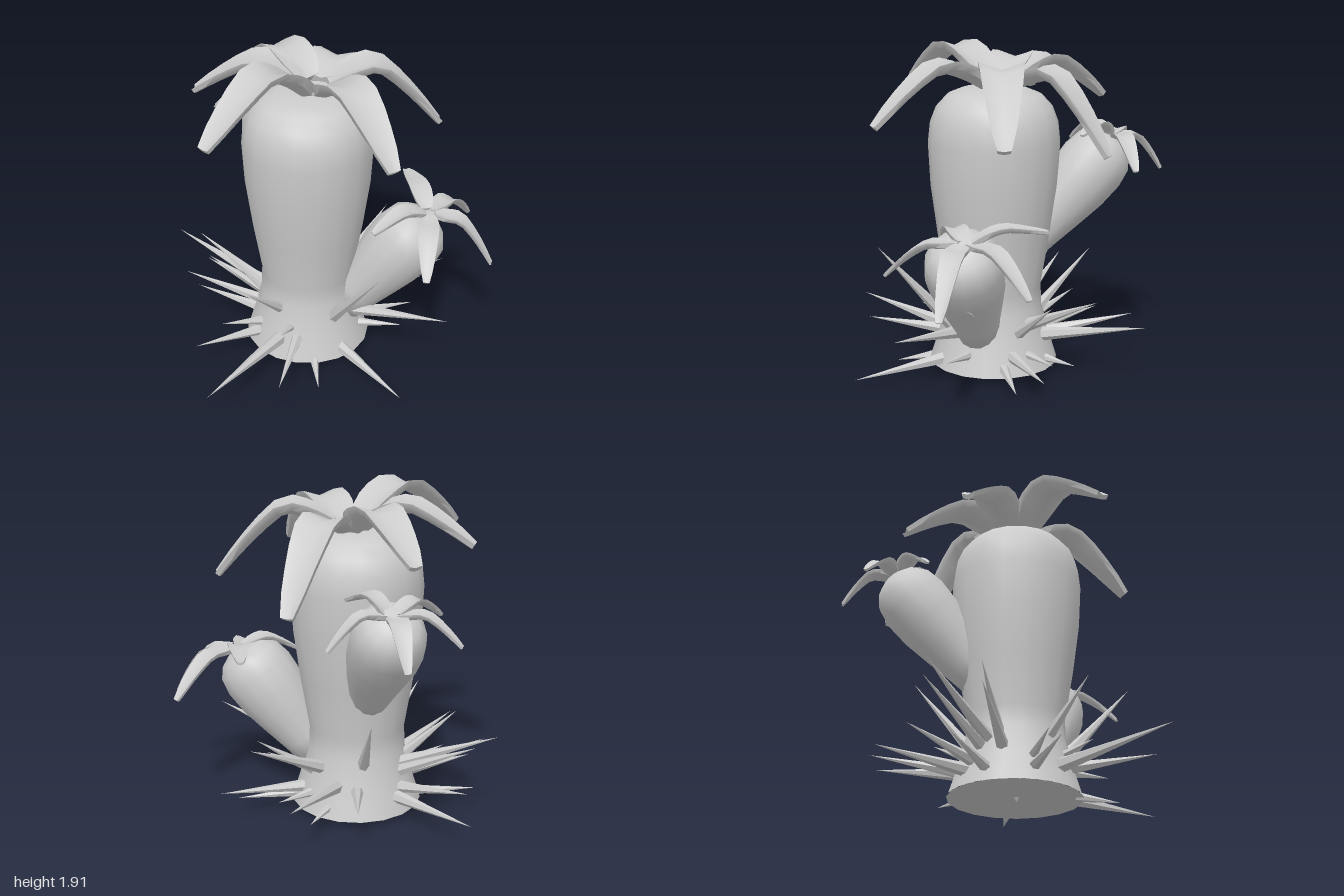
import * as THREE from 'three';
import { toCreasedNormals } from 'three/addons/utils/BufferGeometryUtils.js';

const V = (x, y, z) => new THREE.Vector3(x, y, z);
const AXIS = V(-0.06, 0, -0.08);

// Main trunk outline, [radius, height]
const TRUNK = [[0.38, 0.04], [0.355, 0.12], [0.325, 0.22], [0.285, 0.38], [0.28, 0.5], [0.33, 0.8],
  [0.37, 1.1], [0.383, 1.35], [0.37, 1.47], [0.335, 1.56], [0.27, 1.63], [0.18, 1.665], [0, 1.67]];

// Side arm outline, [radius, fraction of length]
const ARM = [[0, 0], [0.12, 0.02], [0.145, 0.2], [0.18, 0.4], [0.212, 0.6], [0.22, 0.77],
  [0.2, 0.89], [0.15, 0.96], [0.08, 1], [0, 1]];

// Petal half-width along its length
const WIDTHS = [0.55, 0.76, 0.92, 1, 1, 0.94, 0.84, 0.7, 0.54, 0.3];

export function createModel() {
  const model = new THREE.Group();
  const mat = new THREE.MeshStandardMaterial({ color: 0xcccccc });
  const flat = new THREE.MeshStandardMaterial({ color: 0xcccccc, flatShading: true });

  const add = (parent, name, geometry, material = mat) => {
    const mesh = new THREE.Mesh(geometry, material);
    mesh.name = name;
    parent.add(mesh);
    return mesh;
  };
  const lathe = (pts, sides) =>
    new THREE.LatheGeometry(pts.map(([r, y]) => new THREE.Vector2(r, y)), sides);
  const aim = (mesh, from, to) => {
    mesh.position.copy(from);
    mesh.quaternion.setFromUnitVectors(V(0, 1, 0), to.clone().sub(from).normalize());
  };

  // Trunk and its flat underside
  add(model, 'trunk', lathe(TRUNK, 18)).position.copy(AXIS);
  const underside = add(model, 'trunkUnderside', new THREE.CircleGeometry(0.38, 18));
  underside.rotation.x = Math.PI / 2;
  underside.position.set(AXIS.x, 0.04, AXIS.z);

  // Side arms
  const arm = (name, from, to, scale) => {
    const len = from.distanceTo(to);
    aim(add(model, name, lathe(ARM.map(([r, t]) => [r * scale, t * len]), 14)), from, to);
  };
  arm('leftArm', V(0.16, 0.26, -0.14), V(0.6, 0.91, -0.35), 1);
  arm('rightArm', V(-0.19, 0.68, -0.17), V(-0.63, 1.345, -0.54), 0.93);

  // Arched petal: a channelled cross-section swept from the flower centre to the tip
  const petalGeometry = (centre, tip, peak, half, thick, inner) => {
    const at = (t, y) => { const p = centre.clone().lerp(tip, t); p.y = y; return p; };
    const curve = new THREE.CatmullRomCurve3([
      at(inner, centre.y), at(0.26, centre.y + (peak - centre.y) * 0.6), at(0.47, peak),
      at(0.74, peak - (peak - tip.y) * 0.43), tip]);
    const pos = [], index = [], n = WIDTHS.length;
    for (let i = 0; i < n; i++) {
      const t = i / (n - 1), w = WIDTHS[i] * half;
      const p = curve.getPoint(t), T = curve.getTangent(t);
      const S = T.clone().cross(V(0, 1, 0)).normalize(), N = S.clone().cross(T);
      const lift = w * 0.32, d = thick * (1 - 0.5 * t);
      const ring = [[w, lift], [0, 0], [-w, lift], [-w * 0.9, lift - d], [0, -d], [w * 0.9, lift - d]];
      for (const [s, h] of ring) pos.push(...p.clone().addScaledVector(S, s).addScaledVector(N, h).toArray());
      if (i < n - 1) for (let j = 0; j < 6; j++) {
        const a = i * 6 + j, b = i * 6 + (j + 1) % 6;
        index.push(a, a + 6, b + 6, a, b + 6, b);
      }
    }
    // End caps fan out from the middle of the channel
    const e = (n - 1) * 6;
    for (let k = 2; k < 6; k++) {
      const next = (k + 1) % 6;
      index.push(1, k, next, e + 1, e + next, e + k);
    }
    const g = new THREE.BufferGeometry();
    g.setAttribute('position', new THREE.Float32BufferAttribute(pos, 3));
    g.setIndex(index);
    return toCreasedNormals(g, 1);
  };

  // Flower: petals given as [tip x, tip y, tip z, peak height], around a small cup
  const flower = (name, centre, half, thick, cup, petals) => {
    const group = new THREE.Group();
    group.name = name;
    for (const [x, y, z, peak] of petals) {
      const inner = cup * 0.8 / Math.hypot(x - centre.x, z - centre.z);
      add(group, 'petal', petalGeometry(centre, V(x, y, z), peak, half, thick, inner));
    }
    const hub = add(group, 'flowerCup',
      new THREE.CylinderGeometry(cup, cup * 0.9, thick, petals.length), flat);
    hub.position.copy(centre).y -= thick;
    model.add(group);
  };
  flower('topFlower', V(-0.04, 1.71, -0.13), 0.125, 0.055, 0.1, [
    [-0.22, 1.61, 0.7, 1.88], [0.64, 1.49, 0.21, 1.8], [0.53, 1.43, -0.59, 1.8],
    [-0.14, 1.33, -0.8, 1.76], [-0.67, 1.6, -0.42, 1.82], [-0.7, 1.62, 0.12, 1.82]]);
  flower('leftFlower', V(0.59, 0.93, -0.38), 0.063, 0.03, 0.05, [
    [0.65, 0.72, -0.84, 0.92], [0.96, 0.62, -0.51, 0.9], [0.78, 0.73, 0.02, 0.91],
    [0.39, 0.88, -0.07, 0.97], [0.28, 0.98, -0.7, 1.0]]);
  flower('rightFlower', V(-0.61, 1.37, -0.54), 0.056, 0.027, 0.045, [
    [-0.41, 1.21, -0.82, 1.38], [-0.31, 1.4, -0.52, 1.45], [-0.69, 1.31, -0.2, 1.42],
    [-0.95, 1.23, -0.41, 1.38], [-0.84, 1.16, -0.74, 1.36]]);

  // Spikes radiating from the foot, [tip x, tip y, tip z, root height]
  const SPIKES = [
    [-0.07, 0.23, 0.99, 0.16], [-0.12, 0.61, 0.5, 0.33], [0.04, 0.31, 0.4, 0.24], [0.21, 0.2, 0.69, 0.18],
    [0.29, 0.01, 0.38, 0.05], [-0.45, 0.16, 0.58, 0.13], [-0.36, 0.26, 0.42, 0.19], [0.6, 0.81, 0.24, 0.28],
    [0.78, 0.06, 0.27, 0.09], [0.87, 0.4, -0.12, 0.28], [0.54, 0.2, -0.2, 0.15], [0.67, 0.59, -0.45, 0.33],
    [-0.92, 0.57, 0.07, 0.3], [-0.95, 0.16, -0.25, 0.14], [-0.84, 0.52, -0.03, 0.26], [-0.85, 0.28, -0.13, 0.18],
    [-0.72, 0.44, 0.28, 0.24], [-0.6, 0.63, 0.16, 0.31], [-0.46, 0.71, -0.5, 0.33], [-0.77, 0.21, 0.1, 0.12],
    [-0.29, 0.35, -0.99, 0.22], [0.07, 0.57, -0.88, 0.3], [0.4, 0.18, -0.77, 0.15], [0.2, 0.53, -0.68, 0.26],
    [-0.55, 0.32, -0.75, 0.2], [-0.13, 0.08, -0.62, 0.1], [0.42, 0.08, -0.6, 0.09], [0.1, 0.15, -0.62, 0.15]];
  const trunkRadius = (y) => {
    const i = TRUNK.findIndex((p) => p[1] >= y);
    const [r0, y0] = TRUNK[i - 1], [r1, y1] = TRUNK[i];
    return r0 + (r1 - r0) * (y - y0) / (y1 - y0);
  };
  const spikes = new THREE.Group();
  spikes.name = 'spikes';
  model.add(spikes);
  const spike = (root, tip, radius) => {
    const len = root.distanceTo(tip);
    const g = new THREE.ConeGeometry(radius, len, 6).translate(0, len / 2, 0);
    aim(add(spikes, 'spike', g, flat), root, tip);
  };
  for (const [x, y, z, h] of SPIKES) {
    const out = V(x - AXIS.x, 0, z - AXIS.z).normalize();
    const root = AXIS.clone().addScaledVector(out, trunkRadius(h) - 0.04).setY(h);
    const tip = V(x, y, z);
    spike(root, tip, 0.02 + 0.034 * root.distanceTo(tip));
  }
  // Short spike under the foot
  spike(V(-0.08, 0.1, -0.06), V(-0.08, 0.015, -0.05), 0.06);

  return model;
}
